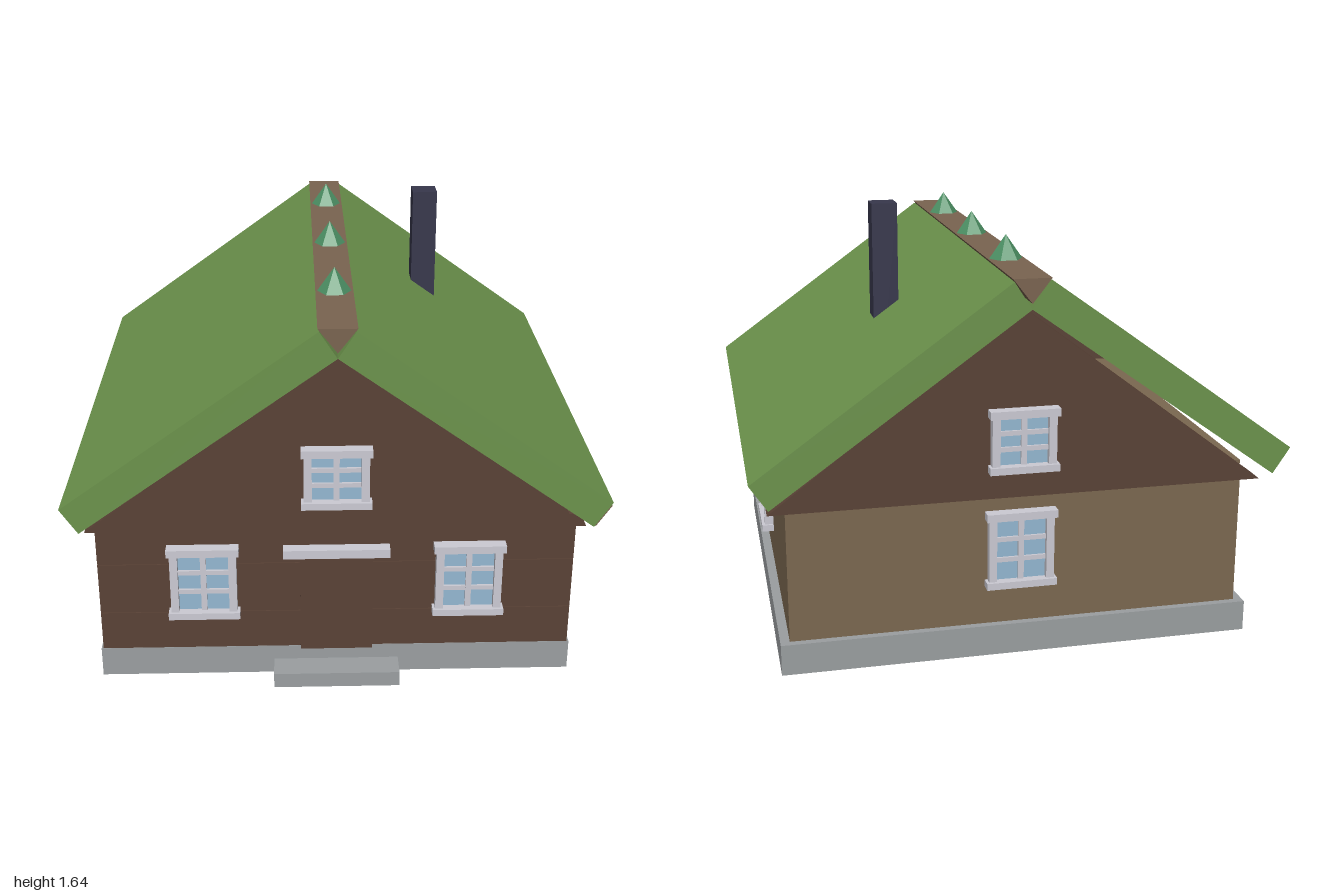
import * as THREE from 'three';

const mat = (name, color, flatShading = false) => {
  const m = new THREE.MeshStandardMaterial({ color, flatShading });
  m.name = name;
  return m;
};

export function createModel() {
  const model = new THREE.Group();
  model.name = 'cottage';

  const darkWood = mat('darkWood', 0x5a4236);
  const tanWall = mat('tanWall', 0x7b6850);
  const ridgeWood = mat('ridgeWood', 0x7a6450);
  const turf = mat('turfGreen', 0x6c934c);
  const stone = mat('stoneGrey', 0x9b9fa1);
  const trim = mat('paleTrim', 0xcccbd4);
  const glass = mat('glassBlue', 0x94b8d2);
  const metal = mat('chimneyDark', 0x37374c);
  const finialGreen = mat('finialGreen', 0x4c9064, true);

  const add = (parent, name, geometry, material) => {
    const mesh = new THREE.Mesh(geometry, material);
    mesh.name = name;
    parent.add(mesh);
    return mesh;
  };
  // Box given by its min and max along each axis
  const box = (parent, name, material, x0, x1, y0, y1, z0, z1) => {
    const mesh = add(parent, name, new THREE.BoxGeometry(x1 - x0, y1 - y0, z1 - z0), material);
    mesh.position.set((x0 + x1) / 2, (y0 + y1) / 2, (z0 + z1) / 2);
    return mesh;
  };
  // Cross-section in x, y carried from z0 to z1
  const prism = (name, material, points, z0, z1) => {
    const shape = new THREE.Shape(points.map(([x, y]) => new THREE.Vector2(x, y)));
    const mesh = add(model, name, new THREE.ExtrudeGeometry(shape, { depth: z1 - z0, bevelEnabled: false }), material);
    mesh.position.z = z0;
    return mesh;
  };

  // Base and doorstep
  box(model, 'foundation', stone, -0.905, 0.905, 0, 0.12, -0.885, 0.885);
  box(model, 'doorStep', stone, -0.24, 0.24, 0, 0.06, 0.88, 0.987);

  // Walls, with horizontal boards on the front
  box(model, 'walls', tanWall, -0.87, 0.87, 0.12, 0.68, -0.857, 0.86);
  for (const [y0, y1] of [[0.12, 0.278], [0.282, 0.488], [0.492, 0.68]]) {
    box(model, 'frontBoard', darkWood, -0.897, 0.897, y0, y1, 0.86, 0.884);
  }
  box(model, 'frontBoardBacking', darkWood, -0.893, 0.893, 0.12, 0.67, 0.858, 0.88);

  // Gables at both ends and the cornices between them
  const gable = [[-0.935, 0.63], [0.935, 0.63], [0, 1.34]];
  prism('frontGable', darkWood, gable, 0.8, 0.886);
  prism('backGable', darkWood, gable, -0.886, -0.8);
  for (const s of [-1, 1]) {
    box(model, 'cornice', tanWall, s * 0.88 - 0.012, s * 0.88 + 0.012, 0.63, 0.68, -0.8, 0.8);
  }

  // Turf roof slopes, ridge beam and eave end board
  for (const s of [-1, 1]) {
    prism('roofSlope', turf, [[0, 1.36], [s * 0.935, 0.69], [s * 1, 0.788], [s * 0.065, 1.46]], -1, 1);
  }
  prism('ridgeBeam', ridgeWood, [[0, 1.38], [0.07, 1.47], [-0.07, 1.47]], -1, 1);
  const endBoard = box(model, 'eaveEndBoard', ridgeWood, -0.003, 0.003, -0.05, 0.05, 0.94, 0.999);
  endBoard.position.x = 0.967;
  endBoard.position.y = 0.736;
  endBoard.rotation.z = -0.585;

  // Ridge finials
  for (const z of [-0.6, 0, 0.6]) {
    const finial = add(model, 'ridgeFinial', new THREE.ConeGeometry(0.063, 0.09, 6), finialGreen);
    finial.position.set(0, 1.515, z);
    finial.rotation.y = Math.PI / 6;
  }

  // Chimney
  box(model, 'chimney', metal, 0.35, 0.45, 0.66, 1.637, -0.25, -0.15);

  // Door and lintel
  box(model, 'door', darkWood, -0.137, 0.137, 0.12, 0.53, 0.87, 0.908);
  box(model, 'doorLintel', trim, -0.2, 0.2, 0.53, 0.565, 0.87, 0.93);

  // Window facing local +z, built around its centre, six panes
  const addWindow = (x, y, z, turn, w = 0.27, h = 0.3) => {
    const g = new THREE.Group();
    g.name = 'window';
    g.position.set(x, y, z);
    g.rotation.y = turn;
    const hw = w / 2, hh = h / 2, jamb = hw - 0.01;
    const inner = jamb - 0.03, bottom = -hh + 0.027, top = hh - 0.03;
    box(g, 'windowHeader', trim, -hw, hw, top, hh, -0.01, 0.045);
    box(g, 'windowSill', trim, -hw, hw, -hh, bottom, -0.01, 0.045);
    box(g, 'windowGlass', glass, -inner, inner, bottom, top, 0.003, 0.01);
    for (const s of [-1, 1]) {
      const c = s * (jamb - 0.015);
      box(g, 'windowJamb', trim, c - 0.015, c + 0.015, bottom, top, -0.01, 0.033);
    }
    box(g, 'windowMullion', trim, -0.011, 0.011, bottom, top, 0, 0.02);
    for (const i of [1, 2]) {
      const c = bottom + (top - bottom) * i / 3;
      box(g, 'windowBar', trim, -inner, inner, c - 0.009, c + 0.009, 0, 0.019);
    }
    model.add(g);
  };
  for (const s of [-1, 1]) {
    addWindow(s * 0.5, 0.422, 0.885, 0);
    addWindow(s * 0.872, 0.422, 0, s * Math.PI / 2);
  }
  addWindow(0, 0.855, 0.886, 0, 0.262, 0.24);
  addWindow(0, 0.422, -0.857, Math.PI);
  addWindow(0, 0.855, -0.886, Math.PI, 0.262, 0.24);

  return model;
}
